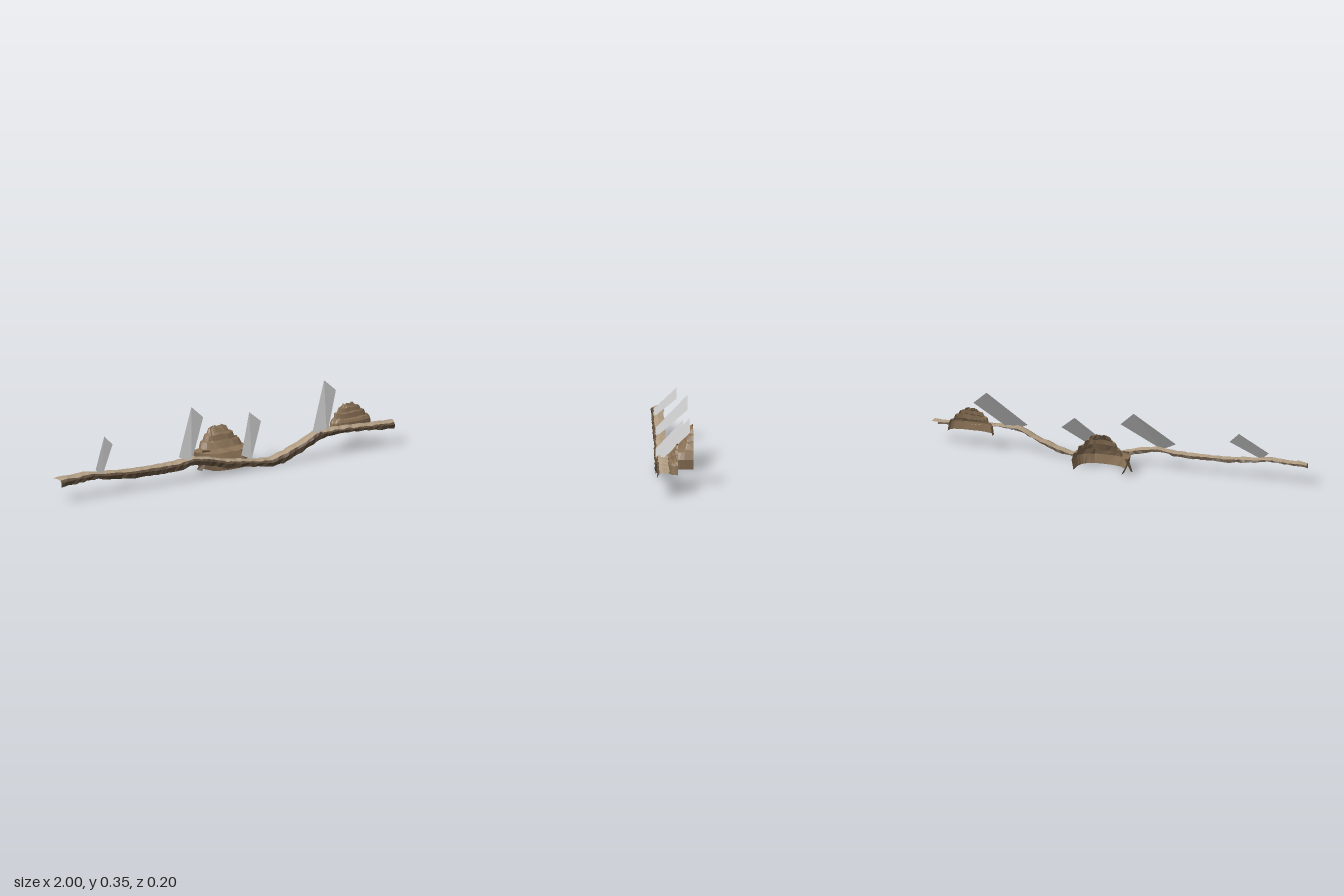
import * as THREE from 'three';

const mat = (color) => new THREE.MeshStandardMaterial({ color, flatShading: true, side: THREE.DoubleSide, roughness: 1 });

// Small seeded noise in -1..1
function makeNoise(seed) {
  let s = seed;
  return () => {
    s = (s * 16807) % 2147483647;
    return (s / 2147483647) * 2 - 1;
  };
}

// Open surface through rows of equally many points
function loft(rows, material, name) {
  const n = rows[0].length;
  const index = [];
  for (let i = 0; i < rows.length - 1; i++) {
    for (let j = 0; j < n - 1; j++) {
      const a = i * n + j;
      index.push(a, a + 1, a + n, a + 1, a + n + 1, a + n);
    }
  }
  const geometry = new THREE.BufferGeometry();
  geometry.setAttribute('position', new THREE.Float32BufferAttribute(rows.flat(2), 3));
  geometry.setIndex(index);
  geometry.computeVertexNormals();
  const mesh = new THREE.Mesh(geometry, material);
  mesh.name = name;
  return mesh;
}

// Linear lookup in a table of [x, top, bottom]
function sample(table, x) {
  let i = 0;
  while (i < table.length - 2 && table[i + 1][0] < x) i++;
  const [a, b] = [table[i], table[i + 1]];
  const t = (x - a[0]) / (b[0] - a[0]);
  return [1, 2].map((k) => a[k] + (b[k] - a[k]) * t);
}

// Half-round stepped rock shell, open at the back; tiers are [y, xLeft, xRight, zFront]
function rock(name, tiers, zBack, seed, material) {
  const noise = makeNoise(seed);
  const steps = 18;
  const bumps = Array.from({ length: steps + 1 }, () => noise());
  const rows = tiers.map(([y, x0, x1, zf], k) => {
    const row = [];
    for (let j = 0; j <= steps; j++) {
      const a = Math.PI * (1 - j / steps);
      const r = 1 + 0.03 * bumps[j] + 0.015 * noise();
      const px = Math.sign(Math.cos(a)) * Math.abs(Math.cos(a)) ** 0.75;
      const pz = Math.max(0, Math.sin(a)) ** 0.6;
      row.push([
        (x0 + x1) / 2 + ((x1 - x0) / 2) * px * r,
        y + (k > 1 ? 0.004 * bumps[(j + k) % steps] : 0),
        zBack + (zf - zBack) * pz * Math.min(r, 1.02),
      ]);
    }
    return row;
  });
  return loft(rows, material, name);
}

export function createModel() {
  const group = new THREE.Group();
  const stone = mat(0x8c7357);
  const topStone = mat(0xb09c82);
  const darkStone = mat(0x5e4d3b);
  const beam = mat(0xcccccc);

  // Winding ledge: a flat top with a ragged front face hanging from it
  const profile = [
    [-1, 0.13, 0.094], [-0.8, 0.133, 0.105], [-0.7, 0.12, 0.088], [-0.58, 0.113, 0.075],
    [-0.4, 0.105, 0.07], [-0.27, 0.11, 0.074], [-0.2, 0.12, 0.088], [-0.1, 0.102, 0.07],
    [0, 0.075, 0.04], [0.1, 0.062, 0.034], [0.2, 0.046, 0.016], [0.27, 0.04, 0.006],
    [0.35, 0.062, 0.02], [0.45, 0.1, 0.06], [0.55, 0.143, 0.106], [0.65, 0.143, 0.12],
    [0.75, 0.138, 0.116], [0.85, 0.132, 0.11], [1, 0.128, 0.094],
  ];
  const noise = makeNoise(77);
  const topRows = [];
  const faceRows = [];
  const segments = 90;
  for (let i = 0; i <= segments; i++) {
    const x = -1 + (2 * i) / segments;
    const [top, bottom] = sample(profile, x);
    const n = noise();
    const xf = x * 0.987;
    const lip = [xf, top - 0.003 + 0.003 * n, 0.085 + 0.004 * noise()];
    topRows.push([
      [x, top + 0.002 * n, 0.034 + 0.004 * noise()],
      [x * 0.993, top + 0.004 + 0.004 * n, 0.065],
      lip,
    ]);
    faceRows.push([
      lip,
      [xf, top * 0.65 + bottom * 0.35, 0.095 + 0.004 * noise()],
      [xf, bottom + 0.003 * noise(), 0.091 + 0.004 * noise()],
    ]);
  }
  group.add(loft(topRows, topStone, 'ledgeTop'), loft(faceRows, darkStone, 'ledgeFace'));

  // Large rock behind the middle of the ledge
  group.add(rock('largeRock', [
    [0.01, -0.06, 0.2, 0.034], [0.06, -0.085, 0.21, 0.036], [0.1, -0.095, 0.2, 0.02],
    [0.108, -0.06, 0.18, -0.03], [0.138, -0.05, 0.17, -0.047], [0.145, -0.035, 0.145, -0.052],
    [0.172, -0.025, 0.135, -0.06], [0.18, -0.01, 0.115, -0.07], [0.202, 0, 0.105, -0.085],
    [0.212, 0.025, 0.08, -0.095],
  ], -0.1, 11, stone));

  // Small rock near the right end
  group.add(rock('smallRock', [
    [0.105, 0.66, 0.9, 0.037], [0.15, 0.665, 0.895, 0.036], [0.165, 0.675, 0.885, 0.03],
    [0.17, 0.685, 0.87, 0.022], [0.195, 0.69, 0.86, 0.018], [0.2, 0.705, 0.845, 0.012],
    [0.22, 0.715, 0.835, 0.008], [0.225, 0.735, 0.81, 0.002], [0.24, 0.745, 0.8, -0.004],
  ], -0.012, 29, stone));

  // Thin shard hanging beside the large rock
  group.add(loft([
    [[-0.075, 0.115, -0.03], [-0.035, 0.11, -0.02]],
    [[-0.08, 0.06, -0.035], [-0.05, 0.06, -0.015]],
    [[-0.1, 0.012, -0.045], [-0.082, 0.008, -0.025]],
  ], darkStone, 'hangingShard'));

  // Slanted flat beams: [bottom left, bottom right, top left, top right] as x, y, then zBottom, zTop
  const beams = [
    [[-0.78, 0.15], [-0.74, 0.115], [-0.66, 0.278], [-0.61, 0.23], 0.085, -0.027],
    [[-0.286, 0.14], [-0.21, 0.105], [-0.115, 0.337], [-0.045, 0.273], 0.083, -0.074],
    [[0.08, 0.095], [0.14, 0.064], [0.21, 0.267], [0.28, 0.209], 0.09, -0.046],
    [[0.505, 0.15], [0.59, 0.112], [0.67, 0.356], [0.74, 0.294], 0.083, -0.073],
  ];
  for (const [bl, br, tl, tr, zb, zt] of beams) {
    group.add(loft([[[...bl, zb], [...br, zb]], [[...tl, zt], [...tr, zt]]], beam, 'slantedBeam'));
  }

  return group;
}
